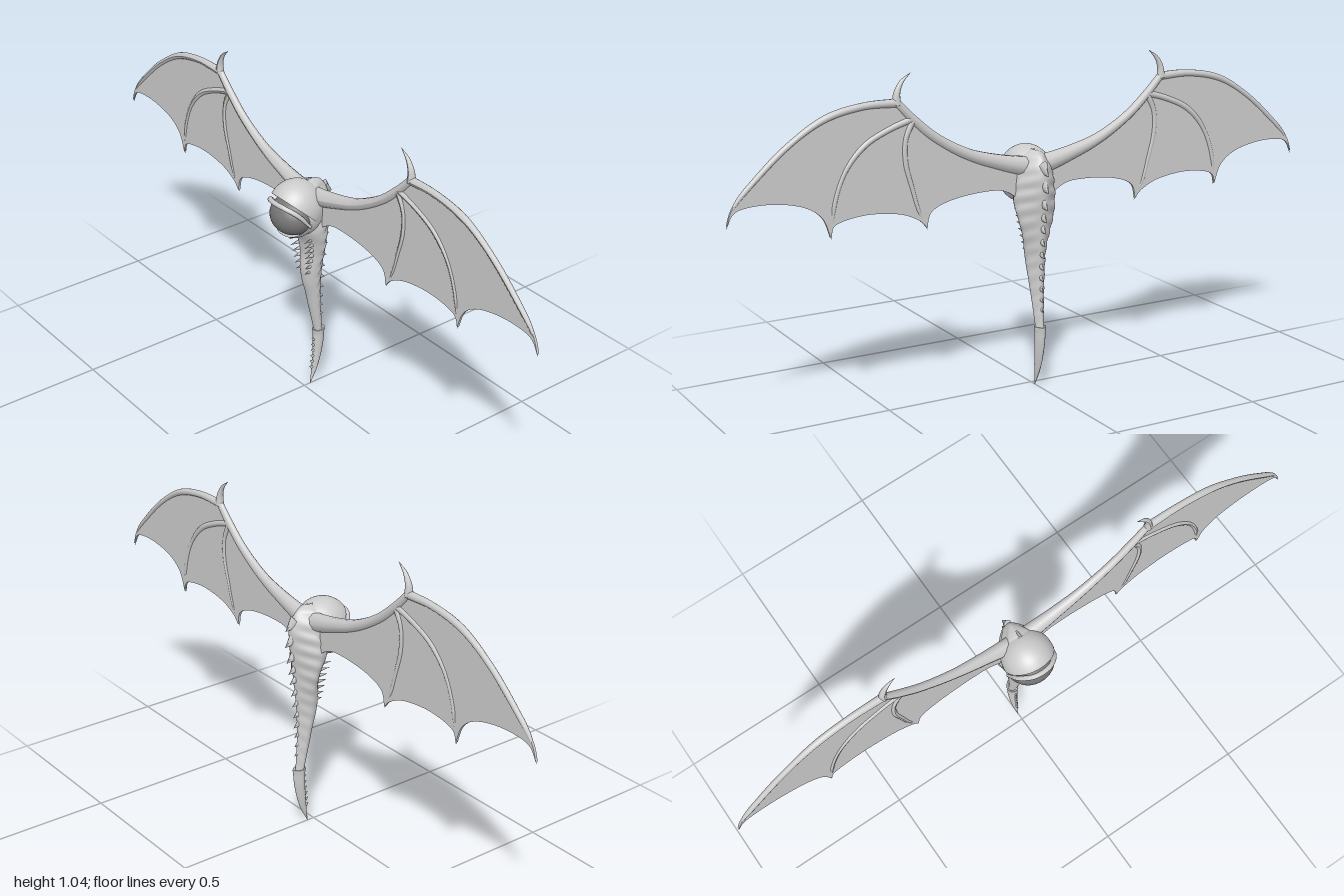
import * as THREE from 'three';

const grey = new THREE.MeshStandardMaterial({ color: 0xcccccc, side: THREE.DoubleSide });
const eyeGrey = new THREE.MeshStandardMaterial({ color: 0x777777 });
const WING_Z = -0.02;

function add(parent, name, geometry, material = grey) {
  const mesh = new THREE.Mesh(geometry, material);
  mesh.name = name;
  parent.add(mesh);
  return mesh;
}

// Skin through rows of [y, front z, back z, half width]; the back narrows to a keel
function loft(rows, steps, ripple = 0) {
  const sides = 32, n = (rows.length - 1) * steps;
  const depth = new THREE.CatmullRomCurve3(rows.map(r => new THREE.Vector3(r[0], r[1], r[2])), false, 'catmullrom', 0.4);
  const width = new THREE.CatmullRomCurve3(rows.map(r => new THREE.Vector3(r[3], r[0], 0)), false, 'catmullrom', 0.4);
  const pos = [], index = [];
  for (let i = 0; i <= n; i++) {
    const d = depth.getPoint(i / n), w = Math.max(0.0005, width.getPoint(i / n).x);
    for (let j = 0; j < sides; j++) {
      const a = j / sides * Math.PI * 2, c = Math.cos(a), s = Math.sin(a);
      const wave = 1 + ripple * Math.sin((d.x + 0.02 * c) * 145) * Math.max(0, 0.4 - c);
      const keel = c < 0 ? 1 + 0.45 * c : 1;
      pos.push(w * s * keel * wave, d.x, (d.y + d.z) / 2 + (d.y - d.z) / 2 * c);
      if (i < n) {
        const p = i * sides + j, q = i * sides + (j + 1) % sides;
        index.push(p, p + sides, q + sides, p, q + sides, q);
      }
    }
  }
  const g = new THREE.BufferGeometry();
  g.setAttribute('position', new THREE.Float32BufferAttribute(pos, 3));
  g.setIndex(index);
  g.computeVertexNormals();
  return g;
}

// Round bone along points, its radius running through a list of values
function bone(points, radii, flat = 1) {
  const seg = 40, sides = 10;
  const curve = new THREE.CatmullRomCurve3(points.map(p => new THREE.Vector3(p[0], p[1], p[2] ?? 0)));
  const g = new THREE.TubeGeometry(curve, seg, 1, sides);
  const pos = g.attributes.position, v = new THREE.Vector3();
  for (let i = 0; i <= seg; i++) {
    const c = curve.getPointAt(i / seg);
    const f = i / seg * (radii.length - 1), k = Math.min(Math.floor(f), radii.length - 2);
    const r = THREE.MathUtils.lerp(radii[k], radii[k + 1], f - k);
    for (let j = 0; j <= sides; j++) {
      const id = i * (sides + 1) + j;
      v.fromBufferAttribute(pos, id).sub(c).multiplyScalar(r);
      v.z *= flat;
      v.add(c);
      pos.setXYZ(id, v.x, v.y, v.z);
    }
  }
  g.computeVertexNormals();
  return g;
}

// Spike from a base point to a tip, narrower across x than along y
function spike(parent, name, base, tip, radius, flat = 0.6) {
  const a = new THREE.Vector3(...base), b = new THREE.Vector3(...tip), dir = b.clone().sub(a);
  const g = new THREE.ConeGeometry(radius, dir.length(), 8, 1);
  g.scale(flat, 1, 1);
  // Turn the cone's x axis onto world x, its height onto the spike direction
  g.rotateY(Math.PI / 2).scale(1, 1, 1);
  g.rotateY(-Math.PI / 2);
  const m = add(parent, name, g);
  m.position.copy(a).add(b).multiplyScalar(0.5);
  m.quaternion.setFromUnitVectors(new THREE.Vector3(0, 1, 0), dir.normalize());
}

function makeWing(s) {
  const wing = new THREE.Group();
  wing.name = s > 0 ? 'leftWing' : 'rightWing';
  wing.position.z = WING_Z;
  const at = pts => pts.map(([x, y, z]) => [s * x, y, z ?? 0]);

  // Membrane with a scalloped trailing edge
  const shape = new THREE.Shape();
  const run = pts => shape.splineThru(pts.map(([x, y]) => new THREE.Vector2(s * x, y)));
  shape.moveTo(s * 0.03, 0.73);
  run([[0.12, 0.745], [0.23, 0.785], [0.34, 0.845], [0.41, 0.9], [0.465, 0.955]]);
  run([[0.57, 0.955], [0.69, 0.93], [0.8, 0.865], [0.9, 0.78], [0.975, 0.705], [0.998, 0.65]]);
  run([[0.965, 0.69], [0.87, 0.697], [0.77, 0.677], [0.71, 0.637], [0.685, 0.575]]);
  run([[0.665, 0.612], [0.57, 0.628], [0.465, 0.617], [0.4, 0.59], [0.372, 0.562]]);
  run([[0.355, 0.612], [0.28, 0.64], [0.17, 0.65], [0.1, 0.64], [0.03, 0.59]]);
  shape.closePath();
  const membrane = new THREE.ExtrudeGeometry(shape, { depth: 0.008, bevelEnabled: false, curveSegments: 24 });
  membrane.translate(0, 0, -0.004);
  add(wing, 'membrane', membrane);

  // Arm, fingers and thumb claw
  add(wing, 'arm', bone(at([[0.02, 0.71], [0.12, 0.735], [0.23, 0.772], [0.34, 0.835], [0.41, 0.895], [0.468, 0.955]]),
    [0.032, 0.024, 0.018, 0.015, 0.014, 0.012], 0.85));
  add(wing, 'leadingFinger', bone(at([[0.46, 0.95], [0.57, 0.95], [0.69, 0.925], [0.8, 0.862], [0.9, 0.778], [0.975, 0.7], [0.998, 0.642]]),
    [0.013, 0.011, 0.011, 0.009, 0.009, 0.008, 0.0005]));
  add(wing, 'middleFinger', bone(at([[0.41, 0.9], [0.49, 0.875], [0.57, 0.835], [0.63, 0.77], [0.668, 0.68], [0.683, 0.568]]),
    [0.011, 0.01, 0.01, 0.008, 0.008, 0.0005]));
  add(wing, 'innerFinger', bone(at([[0.41, 0.9], [0.438, 0.84], [0.44, 0.77], [0.42, 0.69], [0.4, 0.62], [0.37, 0.557]]),
    [0.011, 0.009, 0.009, 0.008, 0.007, 0.0005]));
  add(wing, 'thumbClaw', bone(at([[0.465, 0.945], [0.462, 0.98], [0.447, 1.01], [0.418, 1.035]]),
    [0.014, 0.01, 0.006, 0.0005]));
  return wing;
}

export function createModel() {
  const model = new THREE.Group();
  model.name = 'wingedCreature';

  // Body tapering into the tail
  add(model, 'body', loft([
    [0.762, -0.005, -0.03, 0.004], [0.745, 0.03, -0.065, 0.035], [0.7, 0.035, -0.088, 0.056],
    [0.65, 0.035, -0.088, 0.068], [0.6, 0.03, -0.083, 0.071], [0.55, 0.008, -0.076, 0.062],
    [0.5, 0.002, -0.072, 0.048], [0.45, 0.008, -0.068, 0.038], [0.4, 0.003, -0.064, 0.032],
    [0.35, -0.01, -0.063, 0.027], [0.3, -0.02, -0.064, 0.022], [0.25, -0.031, -0.067, 0.018],
    [0.195, -0.043, -0.072, 0.015]], 10, 0.07));

  // Stinger with a raised collar
  add(model, 'stinger', loft([
    [0.196, -0.05, -0.065, 0.002], [0.203, -0.036, -0.081, 0.019], [0.185, -0.038, -0.08, 0.018],
    [0.15, -0.038, -0.077, 0.017], [0.1, -0.036, -0.067, 0.014], [0.05, -0.031, -0.051, 0.009],
    [0, -0.024, -0.025, 0.001]], 6));

  // Head: skull, sloping brow hood, lower lid and single eye
  const skull = add(model, 'skull', new THREE.SphereGeometry(1, 32, 24));
  skull.position.set(0, 0.672, 0.012);
  skull.scale.set(0.076, 0.09, 0.07);
  const hoodGeometry = new THREE.SphereGeometry(1, 40, 20, 0, Math.PI * 2, 0, Math.PI * 0.52);
  hoodGeometry.rotateX(-0.75).scale(0.082, 0.09, 0.09).translate(0, 0.68, 0.032);
  add(model, 'browHood', hoodGeometry);
  add(model, 'browRidge', bone([[-0.078, 0.642, 0.035], [-0.066, 0.69, 0.075], [-0.035, 0.712, 0.103],
    [0, 0.716, 0.11], [0.035, 0.712, 0.103], [0.066, 0.69, 0.075], [0.078, 0.642, 0.035]],
    [0.004, 0.008, 0.008, 0.008, 0.004]));
  const lidGeometry = new THREE.SphereGeometry(1, 40, 16, 0, Math.PI * 2, 0, Math.PI * 0.45);
  lidGeometry.rotateX(Math.PI + 0.75).scale(0.077, 0.07, 0.068).translate(0, 0.655, 0.045);
  add(model, 'lowerLid', lidGeometry);
  const eye = add(model, 'eye', new THREE.SphereGeometry(1, 40, 28), eyeGrey);
  eye.position.set(0, 0.659, 0.05);
  eye.scale.set(0.074, 0.062, 0.063);

  // Hooked spines down the back: [y, base z, tip z, radius]
  const spines = [[0.715, -0.07, -0.107, 0.026], [0.66, -0.074, -0.109, 0.024], [0.604, -0.07, -0.104, 0.022],
    [0.56, -0.066, -0.098, 0.018], [0.522, -0.064, -0.094, 0.016], [0.48, -0.06, -0.088, 0.015],
    [0.44, -0.057, -0.084, 0.014], [0.4, -0.056, -0.081, 0.013], [0.363, -0.056, -0.079, 0.012],
    [0.327, -0.056, -0.077, 0.011], [0.293, -0.058, -0.076, 0.01], [0.26, -0.06, -0.077, 0.009]];
  for (const [y, base, tip, r] of spines) spike(model, 'backSpine', [0, y, base], [0, y - r * 0.9, tip], r);

  // Paired rows of chest spikes
  for (const s of [-1, 1]) {
    for (let i = 0; i < 7; i++) {
      const y = 0.57 - i * 0.021, x = s * (0.04 - i * 0.003);
      spike(model, 'chestSpike', [x, y, -0.008], [x * 1.05, y - 0.002, 0.036 - i * 0.0035], 0.008);
    }
  }

  // Small barbs along the front of the stinger
  for (let i = 0; i < 6; i++) {
    const y = 0.165 - i * 0.021, z = -0.041 + i * 0.0018;
    spike(model, 'stingerBarb', [0, y, z], [0, y + 0.006, z + 0.012], 0.007);
  }

  model.add(makeWing(1), makeWing(-1));
  return model;
}
